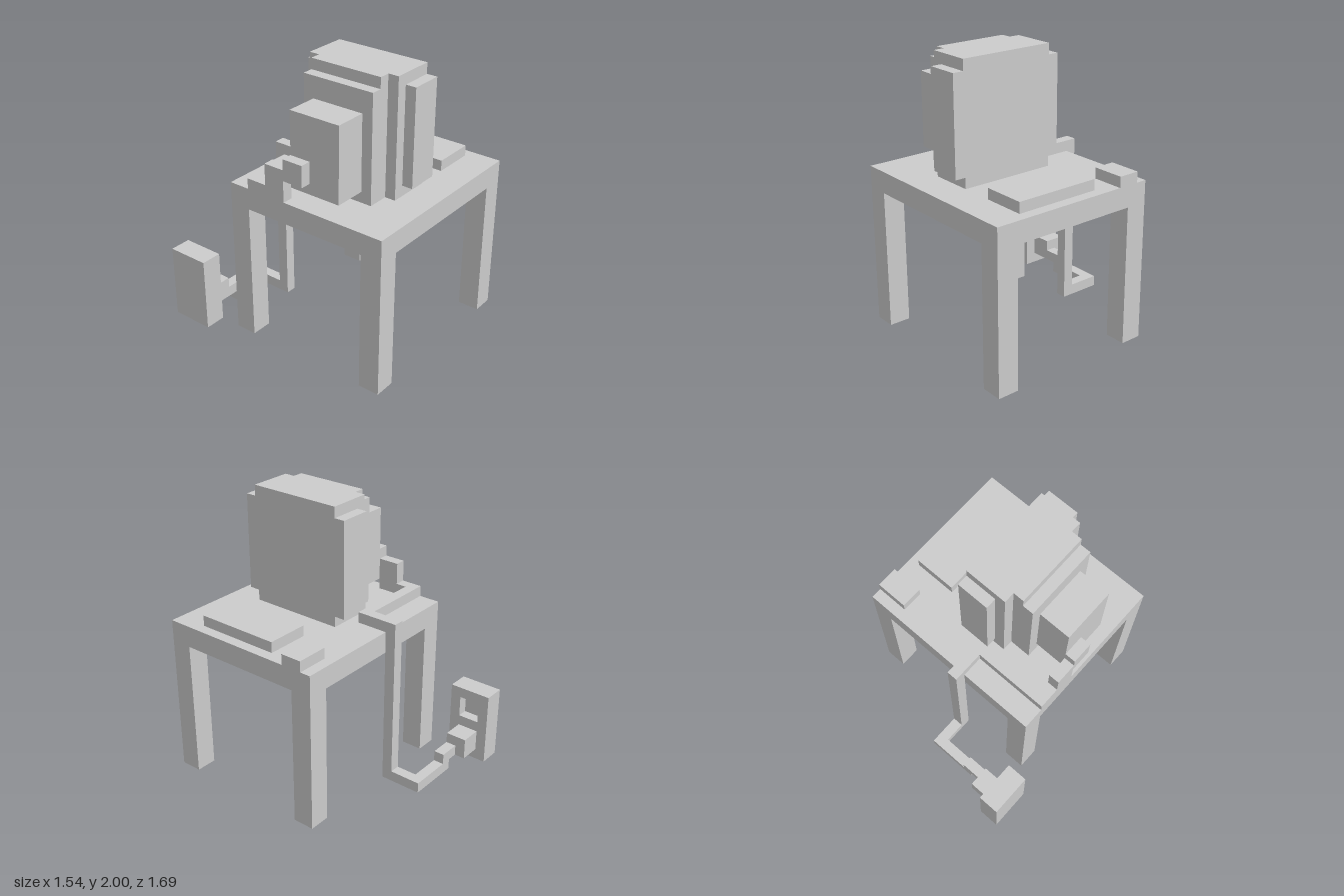
import * as THREE from 'three';

const U = 1 / 13; // one block of the modelling grid
const material = new THREE.MeshStandardMaterial({ color: 0xcccccc, flatShading: true });

// Box given by its extents in grid blocks: [min, max] on each axis
function block(parent, name, [x0, x1], [y0, y1], [z0, z1]) {
  const mesh = new THREE.Mesh(new THREE.BoxGeometry(x1 - x0, y1 - y0, z1 - z0), material);
  mesh.position.set((x0 + x1) / 2, (y0 + y1) / 2, (z0 + z1) / 2);
  mesh.name = name;
  parent.add(mesh);
  return mesh;
}

function group(parent, name) {
  const g = new THREE.Group();
  g.name = name;
  parent.add(g);
  return g;
}

export function createModel() {
  const model = new THREE.Group();
  model.name = 'computerDesk';
  model.scale.setScalar(U);

  // Table
  const table = group(model, 'table');
  block(table, 'tableTop', [-8, 10], [13, 15], [-5, 11]);
  for (const x of [-8, 8]) {
    for (const z of [-5, 9]) block(table, 'tableLeg', [x, x + 2], [0, 13], [z, z + 2]);
  }

  // Monitor facing +x, stepping inwards towards the rear
  const monitor = group(model, 'monitor');
  block(monitor, 'screenBody', [-2, 2], [15, 26], [-1, 8]);
  block(monitor, 'screenSideRight', [-1, 2], [16, 25], [8, 9]);
  block(monitor, 'screenSideLeft', [-1, 2], [16, 25], [-2, -1]);
  block(monitor, 'rearStep', [-3, -2], [15, 26], [0, 7]);
  block(monitor, 'rearPanel', [-4, -3], [15, 25], [0, 7]);
  block(monitor, 'rearHousing', [-7, -4], [16, 23], [1, 6]);

  // Keyboard and mouse
  block(model, 'keyboard', [5, 9], [15, 16], [0, 8]);
  block(model, 'mouse', [7, 10], [15, 16], [-4, -2]);

  // Power cable: from the housing, over the table edge and along the floor
  const cable = group(model, 'powerCable');
  block(cable, 'cableConnector', [-8, -7], [17, 19], [1, 3]);
  block(cable, 'cableRise', [-8, -7], [15, 18], [-1, 1]);
  block(cable, 'cableTurn', [-8, -7], [15, 16], [-2, -1]);
  block(cable, 'cableAlongTable', [-8, 0], [15, 16], [-3, -2]);
  block(cable, 'cableToEdge', [-1, 0], [15, 16], [-5, -3]);
  block(cable, 'cableDrop', [-1, 0], [0, 16], [-6, -5]);
  block(cable, 'cableFromDrop', [-1, 0], [0, 1], [-8, -6]);
  block(cable, 'cableAlongFloor', [-5, 0], [0, 1], [-9, -8]);
  block(cable, 'cableStep', [-6, -4], [1, 2], [-9, -8]);
  block(cable, 'plug', [-8, -6], [1, 3], [-10, -8]);

  // Wall socket: back plate plus a face plate with one open, recessed outlet
  const socket = group(model, 'wallSocket');
  block(socket, 'socketBack', [-10, -9], [0, 7], [-11, -7]);
  const rect = (Type, x0, x1, y0, y1) => new Type([[x0, y0], [x1, y0], [x1, y1], [x0, y1]]
    .map(([x, y]) => new THREE.Vector2(x, y)));
  const face = rect(THREE.Shape, 7, 11, 0, 7);
  face.holes.push(rect(THREE.Path, 8, 10, 4, 6));
  const plate = new THREE.ExtrudeGeometry(face, { depth: 1, bevelEnabled: false });
  plate.rotateY(Math.PI / 2);
  const facePlate = new THREE.Mesh(plate, material);
  facePlate.name = 'socketFacePlate';
  facePlate.position.x = -9;
  socket.add(facePlate);

  return model;
}
